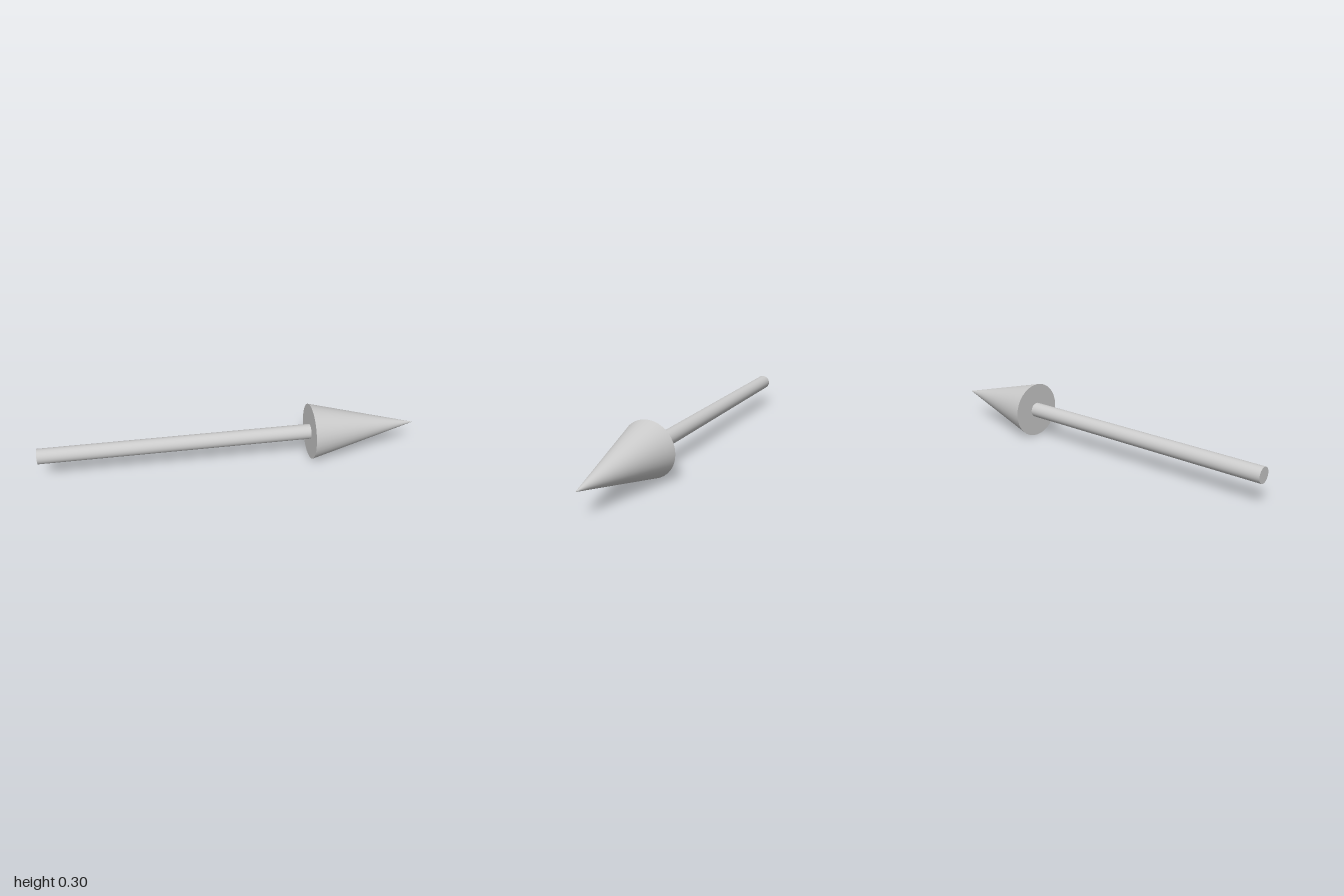
import * as THREE from 'three';

export function createModel() {
  const group = new THREE.Group();
  const material = new THREE.MeshStandardMaterial({ color: 0xcccccc });
  const headRadius = 0.148, shaftRadius = 0.04, neck = 0.425, sides = 32;

  // Place a round part along x, from one end to the other
  function add(name, geometry, from, to) {
    geometry.rotateZ(-Math.PI / 2);
    const mesh = new THREE.Mesh(geometry, material);
    mesh.name = name;
    mesh.position.set((from + to) / 2, headRadius, 0);
    group.add(mesh);
  }

  // Thin round shaft, tail to neck
  add('shaft', new THREE.CylinderGeometry(shaftRadius, shaftRadius, neck + 1, sides), -1, neck);
  // Pointed cone with a flat back
  add('arrowHead', new THREE.ConeGeometry(headRadius, 1 - neck, sides, 8), neck, 1);

  return group;
}
